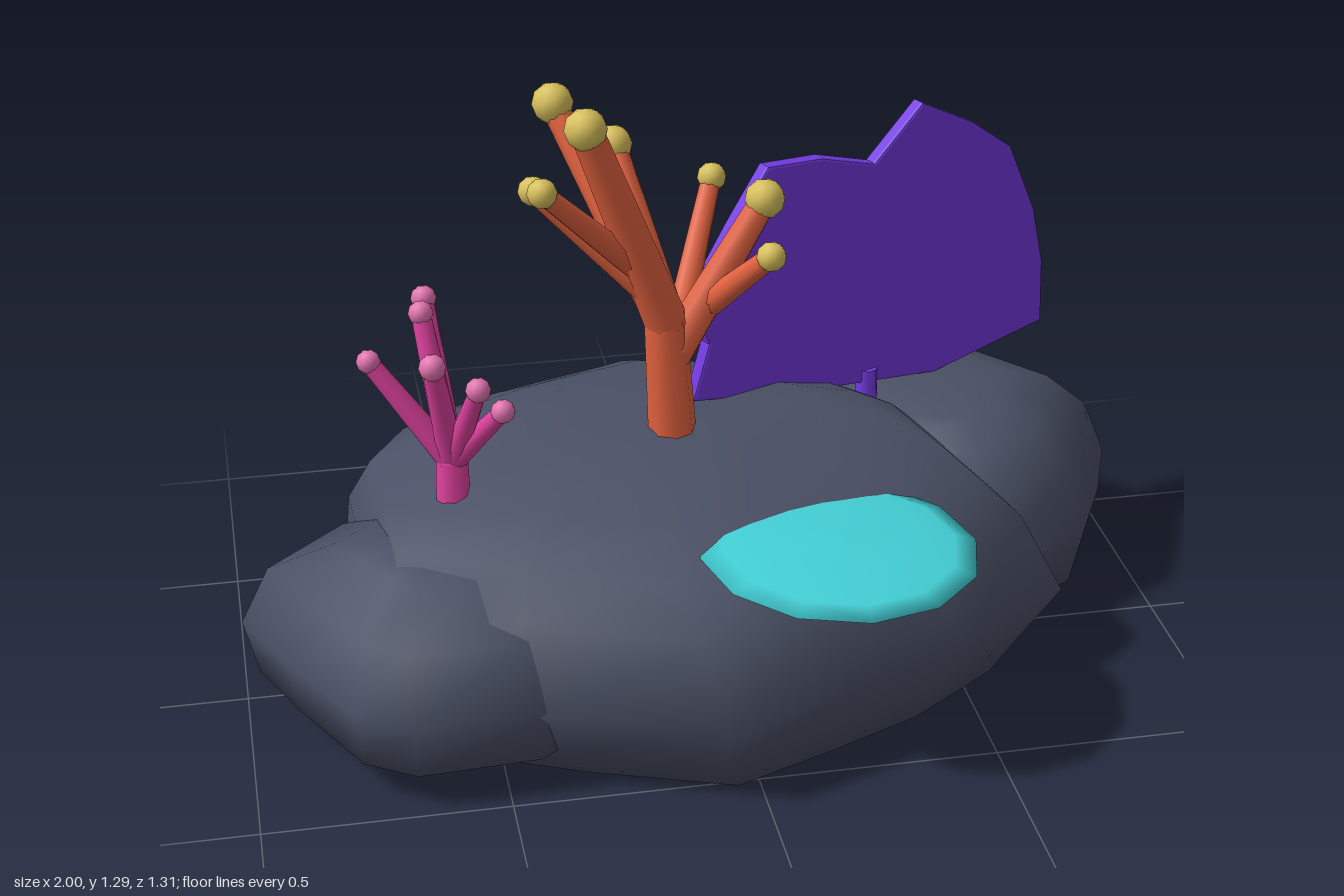
import * as THREE from 'three';

const mat = (name, hex) => {
  const m = new THREE.MeshStandardMaterial({ color: hex });
  m.name = name;
  return m;
};

// Boulder: one outline (x, z) scaled about a centre and shifted at several heights.
// Ring entries: [y, scale x, scale z, shift x, shift z]
function rockGeometry(outline, [cx, cz], rings) {
  const n = outline.length, pos = [], idx = [];
  for (const [y, sx, sz, dx = 0, dz = 0] of rings)
    for (const [x, z] of outline) pos.push(cx + dx + (x - cx) * sx, y, cz + dz + (z - cz) * sz);
  for (let r = 0; r < rings.length - 1; r++)
    for (let i = 0; i < n; i++) {
      const j = (i + 1) % n, a = r * n + i, b = r * n + j, c = a + n, d = b + n;
      idx.push(a, c, b, b, c, d);
    }
  const bottom = pos.length / 3, top = bottom + 1, last = (rings.length - 1) * n;
  const [topY, , , topDx = 0, topDz = 0] = rings[rings.length - 1];
  pos.push(cx, rings[0][0], cz, cx + topDx, topY + 0.004, cz + topDz);
  for (let i = 0; i < n; i++) {
    const j = (i + 1) % n;
    idx.push(bottom, i, j, top, last + j, last + i);
  }
  const g = new THREE.BufferGeometry();
  g.setAttribute('position', new THREE.Float32BufferAttribute(pos, 3));
  g.setIndex(idx);
  g.computeVertexNormals();
  return g;
}

// Tapered limb between two points
function limb(from, to, r0, r1, material, name) {
  const a = new THREE.Vector3(...from), b = new THREE.Vector3(...to);
  const dir = b.clone().sub(a);
  const m = new THREE.Mesh(new THREE.CylinderGeometry(r1, r0, dir.length(), 8), material);
  m.position.copy(a).addScaledVector(dir, 0.5);
  m.quaternion.setFromUnitVectors(new THREE.Vector3(0, 1, 0), dir.normalize());
  m.name = name;
  return m;
}

function ball(at, r, material, name) {
  const m = new THREE.Mesh(new THREE.IcosahedronGeometry(r, 1), material);
  m.position.set(...at);
  m.name = name;
  return m;
}

// Branch list entries: [start, tip, start radius, end radius, tip ball radius]
function coral(name, trunk, branches, stemMat, tipMat) {
  const g = new THREE.Group();
  g.name = name;
  g.add(limb(...trunk, stemMat, 'trunk'), ball(trunk[1], trunk[3], stemMat, 'fork'));
  for (const [a, b, r0, r1, tip] of branches)
    g.add(limb(a, b, r0, r1, stemMat, 'branch'), ball(b, tip, tipMat, 'branchTip'));
  return g;
}

export function createModel() {
  const model = new THREE.Group();
  model.name = 'coralReef';
  const rock = mat('slate rock', 0x4a5065);
  const orange = mat('orange coral', 0xe2623f);
  const gold = mat('gold tips', 0xd8c05a);
  const pink = mat('pink coral', 0xe0429f);
  const palePink = mat('pale pink tips', 0xe274b0);
  const purple = mat('purple fan', 0x733ae0);
  const teal = mat('teal plate', 0x43d0d6);
  const add = (geometry, material, name) => {
    const m = new THREE.Mesh(geometry, material);
    m.name = name;
    model.add(m);
    return m;
  };

  // Rocks
  add(rockGeometry(
    [[-0.08, -0.655], [0.16, -0.58], [0.45, -0.42], [0.65, -0.13], [0.72, 0.2], [0.46, 0.385],
      [0.2, 0.5], [-0.08, 0.612], [-0.45, 0.48], [-0.74, 0.35], [-0.76, 0.08], [-0.77, -0.19],
      [-0.67, -0.365], [-0.49, -0.48]],
    [-0.1, -0.08],
    [[0, 0.4, 0.4, 0.04, 0.055], [0, 0.77, 0.78, 0.04, 0.055], [0.07, 0.88, 0.88, 0.01, 0.02],
      [0.19, 1, 1], [0.36, 0.93, 0.91, -0.03, -0.01], [0.43, 0.84, 0.78, -0.04, -0.045],
      [0.475, 0.74, 0.62, -0.02, -0.065], [0.515, 0.6, 0.46, 0, -0.07], [0.556, 0.4, 0.22, 0, -0.06]],
  ), rock, 'mainRock');
  add(rockGeometry(
    [[-1, 0.02], [-0.8, -0.17], [-0.5, -0.15], [-0.33, 0.1], [-0.33, 0.42], [-0.42, 0.485],
      [-0.69, 0.5], [-0.8, 0.43], [-0.92, 0.2]],
    [-0.62, 0.15],
    [[0.08, 0.5, 0.5], [0.08, 0.92, 0.94], [0.2, 1, 1], [0.335, 0.84, 0.84], [0.41, 0.45, 0.45],
      [0.422, 0.2, 0.2]],
  ), rock, 'rightRock');
  add(rockGeometry(
    [[0.16, -0.58], [0.3, -0.645], [0.46, -0.66], [0.8, -0.62], [1, -0.385], [0.93, -0.2],
      [0.85, -0.04], [0.61, 0.1], [0.35, 0.02], [0.2, -0.25]],
    [0.58, -0.28],
    [[0.06, 0.5, 0.5], [0.06, 0.89, 0.97], [0.2, 1, 1], [0.33, 0.87, 0.9], [0.42, 0.63, 0.68],
      [0.453, 0.38, 0.42], [0.46, 0.2, 0.2]],
  ), rock, 'leftRock');

  // Large orange coral
  const fork = [-0.095, 0.8, -0.01], low = [-0.08, 0.72, -0.015];
  const mid = [-0.155, 0.93, 0.005], side = [0, 0.83, -0.015];
  model.add(coral('orangeCoral', [[-0.08, 0.5, -0.012], fork, 0.052, 0.044], [
    [fork, [-0.26, 1.25, 0.045], 0.045, 0.033, 0.044],
    [fork, [-0.285, 1.2, -0.245], 0.042, 0.028, 0.044],
    [fork, [-0.162, 1.1, -0.245], 0.042, 0.028, 0.042],
    [low, [0.118, 1.04, -0.04], 0.043, 0.029, 0.042],
    [mid, [-0.355, 1.14, 0.088], 0.029, 0.021, 0.031],
    [[-0.13, 0.87, 0], [-0.358, 1.097, -0.032], 0.03, 0.021, 0.031],
    [side, [0.105, 0.967, 0.088], 0.029, 0.021, 0.031],
    [low, [0.04, 1.027, -0.208], 0.031, 0.021, 0.031],
  ], orange, gold));

  // Small pink coral
  const pf = [-0.552, 0.56, 0.07];
  model.add(coral('pinkCoral', [[-0.555, 0.43, 0.08], pf, 0.036, 0.033], [
    [pf, [-0.708, 0.783, 0.035], 0.028, 0.019, 0.025],
    [pf, [-0.595, 0.86, -0.01], 0.028, 0.02, 0.026],
    [pf, [-0.578, 0.838, -0.13], 0.028, 0.02, 0.027],
    [pf, [-0.59, 0.812, 0.147], 0.028, 0.02, 0.028],
    [pf, [-0.503, 0.763, 0.165], 0.028, 0.018, 0.026],
    [pf, [-0.455, 0.71, 0.162], 0.026, 0.018, 0.025],
  ], pink, palePink));

  // Purple sea fan: thin bevelled slab turned about y
  const turn = 0.414, c = Math.cos(turn);
  const fanShape = new THREE.Shape([
    [-0.025, 0.575], [0.285, 0.51], [0.57, 0.465], [0.848, 0.51], [0.843, 0.655], [0.813, 0.79],
    [0.743, 0.955], [0.643, 1.035], [0.515, 1.108], [0.4, 0.998], [0.27, 1.043], [0.145, 1.055],
    [0.065, 0.94], [-0.025, 0.8], [0.012, 0.695],
  ].map(([x, y]) => new THREE.Vector2((x - 0.02) / c, y)));
  const fanGeo = new THREE.ExtrudeGeometry(fanShape, {
    depth: 0.022, bevelEnabled: true, bevelSize: 0.006, bevelThickness: 0.006, bevelSegments: 2,
  });
  fanGeo.translate(0, 0, -0.011);
  const fan = add(fanGeo, purple, 'seaFan');
  fan.position.set(0.02, 0, -0.115);
  fan.rotation.y = turn;
  model.add(limb([0.402, 0.34, -0.276], [0.402, 0.518, -0.276], 0.027, 0.024, purple, 'fanStem'));

  // Teal plate coral: lens tucked into the rock
  const lens = new THREE.LatheGeometry([
    [0, -0.032], [0.15, -0.026], [0.24, -0.014], [0.285, 0.003], [0.24, 0.016], [0.14, 0.025], [0, 0.03],
  ].map(([x, y]) => new THREE.Vector2(x, y)), 12);
  const plate = add(lens, teal, 'plateCoral');
  plate.position.set(0.19, 0.436, 0.365);
  plate.rotation.set(0.02, 0, -0.03);

  return model;
}
